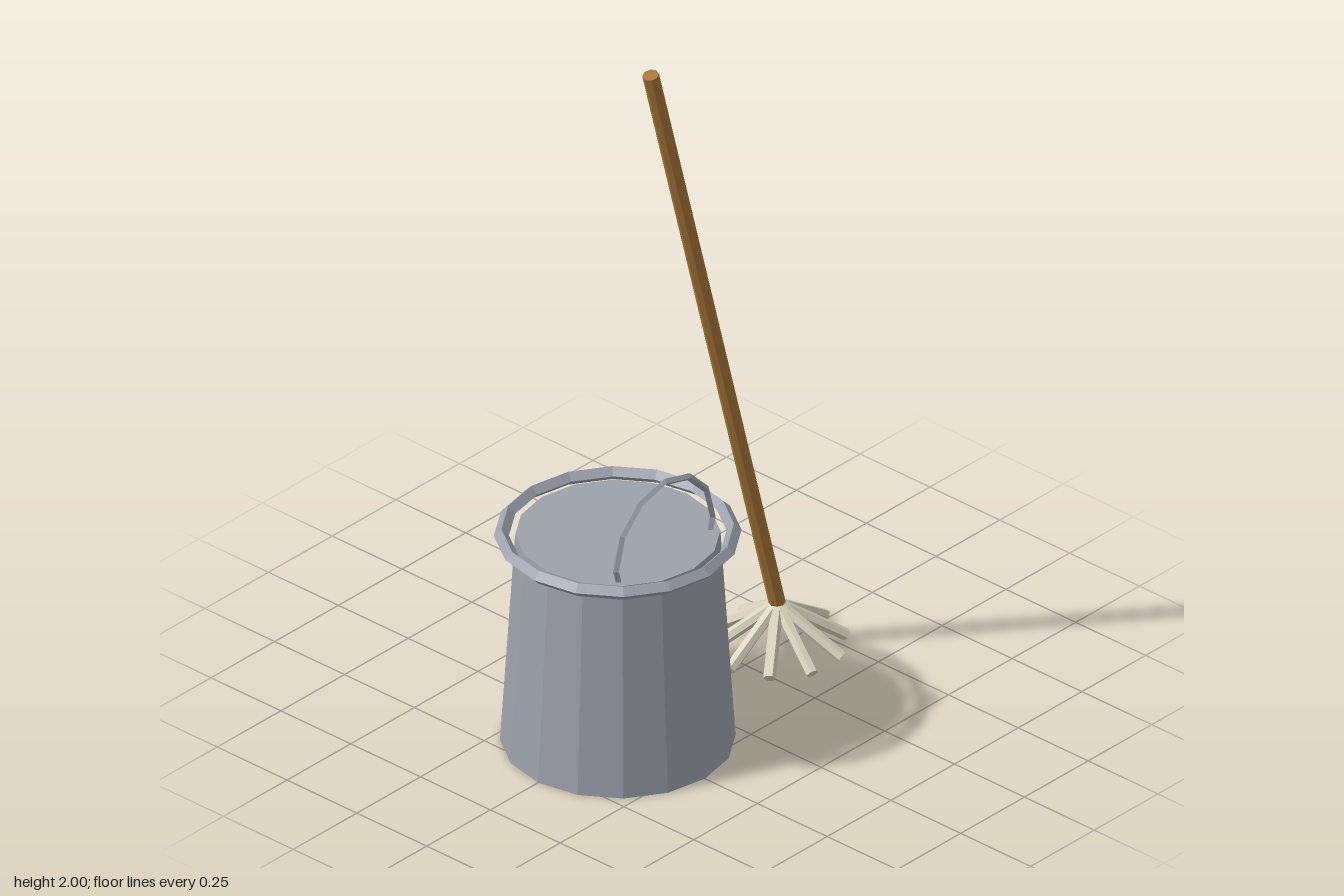
import * as THREE from 'three';

const mat = (name, color) => {
  const m = new THREE.MeshStandardMaterial({ color, flatShading: true });
  m.name = name;
  return m;
};

export function createModel() {
  const metal = mat('grey metal', 0x9da1ab);
  const wood = mat('brown wood', 0xa87638);
  const cotton = mat('pale cotton', 0xd8d2be);

  const model = new THREE.Group();
  model.name = 'mopAndBucket';

  const add = (parent, name, geometry, material) => {
    const mesh = new THREE.Mesh(geometry, material);
    mesh.name = name;
    parent.add(mesh);
    return mesh;
  };

  // Bucket: closed tapered body, loose diamond-section rim, hoop handle
  const bucket = new THREE.Group();
  bucket.name = 'bucket';
  bucket.position.x = -0.25;
  model.add(bucket);

  const height = 0.633;
  add(bucket, 'bucketBody', new THREE.CylinderGeometry(0.272, 0.312, height, 16), metal)
    .position.y = height / 2;

  const rim = add(bucket, 'bucketRim', new THREE.TorusGeometry(0.308, 0.02, 4, 16), metal);
  rim.rotation.x = Math.PI / 2;
  rim.position.y = height;

  // The hoop's lower ends run down into the body
  const hoop = new THREE.TorusGeometry(0.19, 0.01, 4, 8, Math.PI * 4 / 3);
  hoop.rotateZ(-Math.PI / 6);
  add(bucket, 'bucketHandle', hoop, metal).position.set(0, 0.668, 0.167);

  // Mop: leaning pole with a ring of splayed strands at its foot
  const mop = new THREE.Group();
  mop.name = 'mop';
  mop.position.set(0.377, 0.134, 0);
  model.add(mop);

  const poleLength = 1.923;
  const pole = new THREE.CylinderGeometry(0.0225, 0.0225, poleLength, 8);
  pole.translate(0, poleLength / 2, 0);
  add(mop, 'mopPole', pole, wood).rotation.z = THREE.MathUtils.degToRad(15);

  const strandLength = 0.222;
  const strand = new THREE.CylinderGeometry(0.017, 0.017, strandLength, 6);
  strand.translate(0, -strandLength / 2, 0);
  strand.rotateZ(1);
  const strands = new THREE.Group();
  strands.name = 'mopStrands';
  mop.add(strands);
  for (let i = 0; i < 10; i++) {
    add(strands, 'mopStrand', strand, cotton).rotation.y = (i / 10) * Math.PI * 2;
  }

  return model;
}
